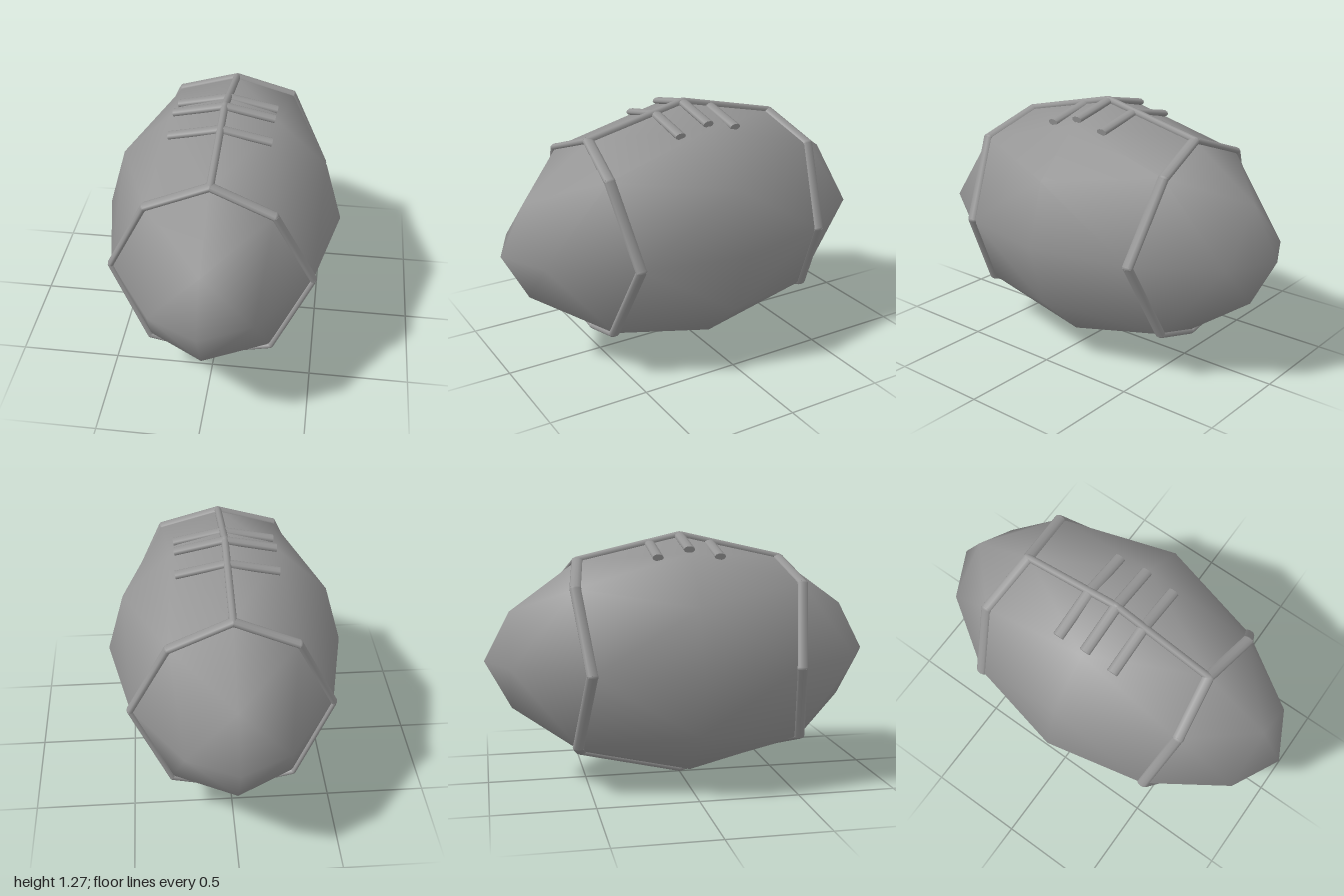
import * as THREE from 'three';
import { mergeVertices, mergeGeometries } from 'three/addons/utils/BufferGeometryUtils.js';

const CENTER_Y = 0.636;
const STRETCH = 1 / 0.6; // cords are stretched lengthwise together with the ball

// One eighth of the ball: rows of points from the tip (z) to the waist (z = 0)
const ROWS = [
  [[0, 0, 1]],
  [[0.243, 0, 0.878], [0, 0.247, 0.869]],
  [[0.489, 0, 0.508], [0.3, 0.39, 0.562], [0, 0.497, 0.522]],
  [[0.6, 0, 0], [0.512, 0.314, 0], [0.269, 0.543, 0], [0, 0.614, 0]],
];
const SIGNS = [1, -1];

// Mirror the eighth into all octants, keeping the faces outward
function ballGeometry() {
  const pos = [];
  for (const sx of SIGNS) for (const sy of SIGNS) for (const sz of SIGNS) {
    const tri = (a, b, c) => {
      const order = sx * sy * sz > 0 ? [a, b, c] : [a, c, b];
      for (const [x, y, z] of order) pos.push(x * sx, y * sy, z * sz);
    };
    for (let i = 0; i < 3; i++) {
      const r = ROWS[i], n = ROWS[i + 1];
      for (let j = 0; j <= i; j++) {
        tri(r[j], n[j], n[j + 1]);
        if (j < i) tri(r[j], n[j + 1], r[j + 1]);
      }
    }
  }
  const raw = new THREE.BufferGeometry();
  raw.setAttribute('position', new THREE.Float32BufferAttribute(pos, 3));
  const geo = mergeVertices(raw);
  geo.computeVertexNormals();
  return geo;
}

// Straight cord pieces with rounded joints along a list of points
function cordGeometry(points, radius, closed = false) {
  const pts = points.map(([x, y, z]) => new THREE.Vector3(x, y, z / STRETCH));
  const parts = [];
  const count = closed ? pts.length : pts.length - 1;
  for (let i = 0; i < count; i++) {
    const a = pts[i], b = pts[(i + 1) % pts.length];
    const dir = b.clone().sub(a);
    const cyl = new THREE.CylinderGeometry(radius, radius, dir.length(), 10);
    cyl.applyQuaternion(new THREE.Quaternion().setFromUnitVectors(
      new THREE.Vector3(0, 1, 0), dir.clone().normalize()));
    const mid = a.clone().add(b).multiplyScalar(0.5);
    parts.push(cyl.translate(mid.x, mid.y, mid.z));
    if (closed || i > 0) {
      parts.push(new THREE.SphereGeometry(radius, 10, 8).translate(a.x, a.y, a.z));
    }
  }
  return mergeGeometries(parts).scale(1, 1, STRETCH);
}

export function createModel() {
  const model = new THREE.Group();
  model.name = 'ball';
  const material = new THREE.MeshStandardMaterial({ color: 0x969696 });
  const add = (name, geometry) => {
    const mesh = new THREE.Mesh(geometry, material);
    mesh.name = name;
    mesh.position.y = CENTER_Y;
    model.add(mesh);
  };

  add('body', ballGeometry());

  // Eight-sided bands near both ends
  const [side, corner, top] = ROWS[2];
  const half = [side, corner, top, [-corner[0], corner[1], corner[2]]];
  for (const s of SIGNS) {
    const ring = SIGNS.flatMap((t) => half.map(([x, y, z]) => [x * t, y * t, z * s]));
    add(s > 0 ? 'frontBand' : 'backBand', cordGeometry(ring, 0.0175, true));
  }

  // Lengthwise seams between the bands, above and below
  for (const s of SIGNS) {
    add(s > 0 ? 'topSeam' : 'bottomSeam', cordGeometry([
      [0, top[1] * s, top[2]], [0, 0.617 * s, 0], [0, top[1] * s, -top[2]],
    ], 0.0185));
  }

  // Three bent laces across the top seam
  for (const z of [-0.155, 0, 0.155]) {
    const y = 0.615 - Math.abs(z) * 0.24;
    add('lace', cordGeometry([[-0.252, y - 0.053, z], [0, y, z], [0.247, y - 0.053, z]], 0.017));
  }
  return model;
}
